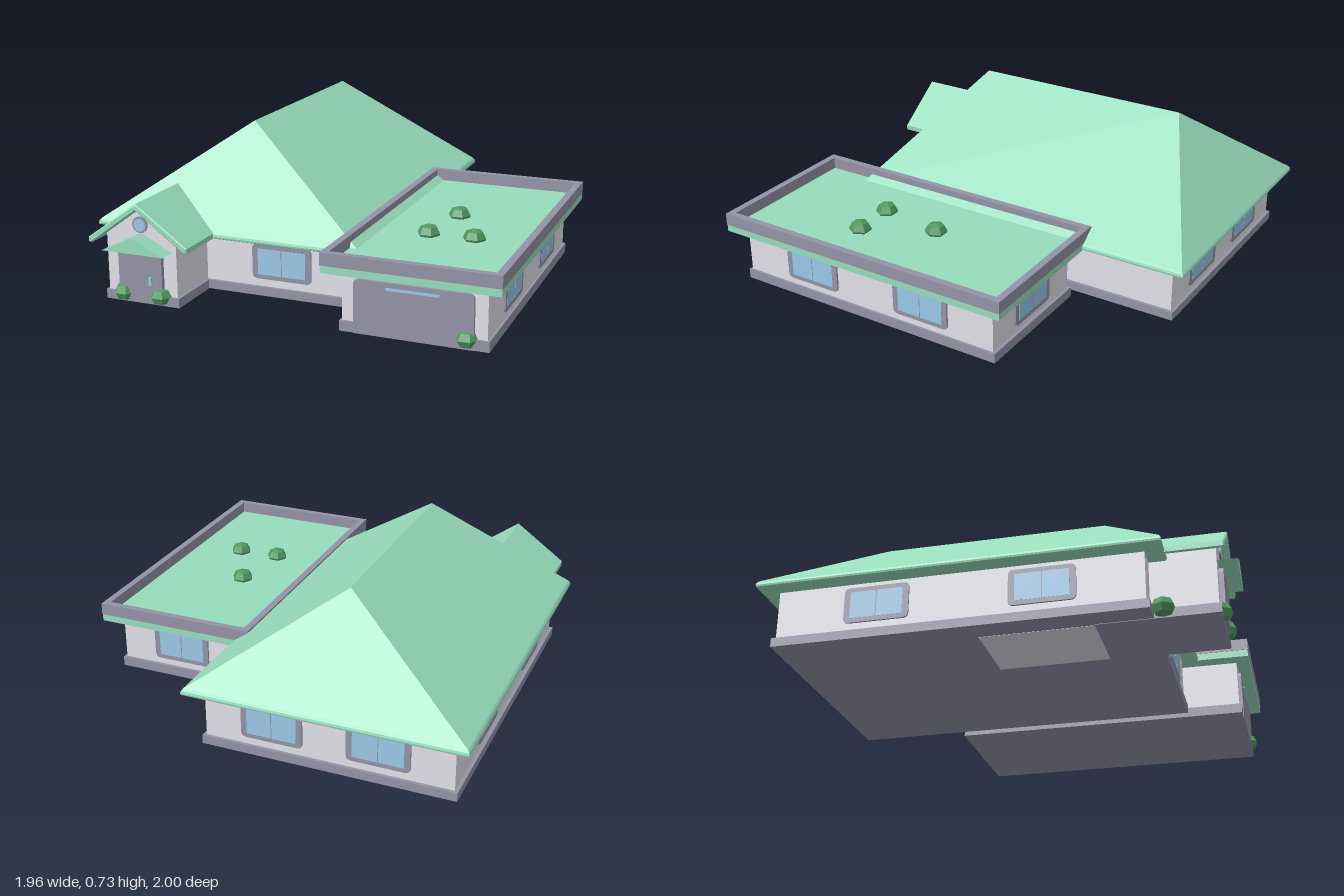
import * as THREE from 'three';

const mat = (name, color) => Object.assign(new THREE.MeshStandardMaterial({ color }), { name });

export function createModel() {
  const roofGreen = mat('roof green', 0x97dcbc);
  const wallGrey = mat('wall grey', 0xe0e0e7);
  const trimGrey = mat('trim grey', 0x9393a7);
  const glassBlue = mat('glass blue', 0x9ccaeb);
  const leafGreen = mat('leaf green', 0x4f985f);
  const model = new THREE.Group();

  const add = (name, geometry, material, parent = model) => {
    const mesh = new THREE.Mesh(geometry, material);
    mesh.name = name;
    parent.add(mesh);
    return mesh;
  };
  // Box given by its limits on each axis
  const box = (name, m, x0, x1, y0, y1, z0, z1) => {
    const mesh = add(name, new THREE.BoxGeometry(x1 - x0, y1 - y0, z1 - z0), m);
    mesh.position.set((x0 + x1) / 2, (y0 + y1) / 2, (z0 + z1) / 2);
  };
  // Outline of x, y points extruded from z0 to z1, with an optional bevel inside that outline
  const prism = (name, m, points, z0, z1, bevel = 0) => {
    const shape = new THREE.Shape(points.map(([x, y]) => new THREE.Vector2(x, y)));
    const g = new THREE.ExtrudeGeometry(shape, { depth: z1 - z0 - 2 * bevel, bevelEnabled: bevel > 0,
      bevelThickness: bevel, bevelSize: bevel, bevelOffset: -bevel, bevelSegments: 1 });
    add(name, g.translate(0, 0, z0 + bevel), m);
  };
  // Plate with rounded top corners, and rounded bottom corners if rb > 0
  const plate = (w, h, r, rb, depth) => {
    const s = new THREE.Shape(), a = w / 2;
    s.moveTo(-a + rb, 0);
    s.lineTo(a - rb, 0);
    s.quadraticCurveTo(a, 0, a, rb);
    s.lineTo(a, h - r);
    s.quadraticCurveTo(a, h, a - r, h);
    s.lineTo(-a + r, h);
    s.quadraticCurveTo(-a, h, -a, h - r);
    s.lineTo(-a, rb);
    s.quadraticCurveTo(-a, 0, -a + rb, 0);
    return new THREE.ExtrudeGeometry(s, { depth, bevelEnabled: false, curveSegments: 5 });
  };

  // Walls and plinths; the porch body runs back under the house
  box('mainWalls', wallGrey, -0.905, 0.217, 0.04, 0.27, -0.92, 0.645);
  box('mainPlinth', trimGrey, -0.92, 0.232, 0.002, 0.042, -0.935, 0.66);
  box('garageWalls', wallGrey, 0.288, 0.908, 0.04, 0.27, -0.435, 0.897);
  box('garagePlinth', trimGrey, 0.278, 0.919, 0, 0.045, -0.45, 0.908);
  box('porchPlinth', trimGrey, -0.818, -0.457, 0, 0.042, 0.42, 0.93);
  const px = -0.638;
  prism('porchWalls', wallGrey, [[px - 0.17, 0.001], [px + 0.17, 0.001], [px + 0.17, 0.305],
    [px, 0.43], [px - 0.17, 0.305]], -0.065, 0.92);

  // Hipped main roof: rounded eave rings closed by a ridge
  const rings = [[0.01, 0.258], [0.002, 0.262], [0, 0.27], [0.003, 0.28], [0.01, 0.29]].map(([i, y]) =>
    [[-0.98 + i, y, 0.722 - i], [0.292 - i, y, 0.722 - i], [0.292 - i, y, -1 + i], [-0.98 + i, y, -1 + i]]);
  const low = rings[0], top = rings[4];
  const ridge = [[-0.344, 0.728, 0.387], [-0.344, 0.728, -0.655]];
  const tris = [];
  const quad = (a, b, c, d) => tris.push(a, b, c, a, c, d);
  for (let r = 0; r < 4; r++) for (let i = 0; i < 4; i++) {
    const j = (i + 1) % 4;
    quad(rings[r][i], rings[r][j], rings[r + 1][j], rings[r + 1][i]);
  }
  quad(low[3], low[2], low[1], low[0]);
  tris.push(top[0], top[1], ridge[0], top[2], top[3], ridge[1]);
  quad(top[1], top[2], ridge[1], ridge[0]);
  quad(top[3], top[0], ridge[0], ridge[1]);
  const hip = new THREE.BufferGeometry();
  hip.setAttribute('position', new THREE.Float32BufferAttribute(tris.flat(), 3));
  hip.computeVertexNormals();
  add('mainRoof', hip, roofGreen);

  // Gabled porch roof and the small canopy over the door
  prism('porchRoof', roofGreen, [[px - 0.242, 0.26], [px - 0.225, 0.26], [px, 0.425], [px + 0.225, 0.26],
    [px + 0.242, 0.26], [px + 0.242, 0.283], [px, 0.456], [px - 0.242, 0.283]], 0.56, 0.959, 0.005);
  prism('doorCanopy', roofGreen, [[px - 0.15, 0.245], [px + 0.15, 0.245], [px, 0.318]], 0.92, 1);

  // Flat garage roof with a raised parapet
  box('garageRoof', roofGreen, 0.217, 0.977, 0.258, 0.292, -0.51, 0.958);
  const rect = (P, i) => new P([[0.214 + i, -0.96 + i], [0.979 - i, -0.96 + i],
    [0.979 - i, 0.512 - i], [0.214 + i, 0.512 - i]].map(([x, y]) => new THREE.Vector2(x, y)));
  const rim = rect(THREE.Shape, 0);
  rim.holes.push(rect(THREE.Path, 0.032));
  const parapet = new THREE.ExtrudeGeometry(rim, { depth: 0.055, bevelEnabled: false });
  add('garageParapet', parapet.rotateX(-Math.PI / 2).translate(0, 0.291, 0), trimGrey);

  // Two-pane windows, each facing the given turn about y
  const frame = plate(0.282, 0.16, 0.024, 0.024, 0.008);
  const pane = new THREE.BoxGeometry(0.112, 0.12, 0.002);
  const addWindow = (x, z, turn) => {
    const g = new THREE.Group();
    g.name = 'window';
    add('windowFrame', frame, trimGrey, g);
    for (const s of [-1, 1]) add('windowPane', pane, glassBlue, g).position.set(s * 0.058, 0.08, 0.008);
    g.position.set(x, 0.078, z);
    g.rotation.y = turn;
    model.add(g);
  };
  addWindow(-0.099, 0.645, 0);
  for (const z of [0.522, -0.068]) addWindow(0.908, z, Math.PI / 2);
  for (const z of [0.225, -0.48]) addWindow(-0.905, z, -Math.PI / 2);
  for (const x of [-0.575, -0.095]) addWindow(x, -0.92, Math.PI);
  addWindow(0.6, -0.435, Math.PI);

  // Front door, handle and round gable window
  add('frontDoor', plate(0.213, 0.225, 0.025, 0, 0.02), trimGrey).position.set(px, 0.015, 0.92);
  box('doorHandle', glassBlue, -0.594, -0.58, 0.09, 0.13, 0.938, 0.948);
  const disc = (name, r, m, z) => {
    const g = new THREE.CylinderGeometry(r, r, 0.012, 24).rotateX(Math.PI / 2);
    add(name, g, m).position.set(px, 0.355, z);
  };
  disc('roundWindowFrame', 0.036, trimGrey, 0.922);
  disc('roundWindowPane', 0.028, glassBlue, 0.924);

  // Garage door with a narrow light
  add('garageDoor', plate(0.513, 0.235, 0.025, 0, 0.014), trimGrey).position.set(0.598, 0, 0.897);
  box('garageDoorLight', glassBlue, 0.482, 0.712, 0.204, 0.215, 0.909, 0.914);

  // Low-poly shrubs at the front and on the flat roof
  const leaf = new THREE.SphereGeometry(0.052, 6, 4).scale(1, 0.8, 1).toNonIndexed();
  leaf.computeVertexNormals();
  const shrubs = [[-0.83, 0.041, 0.7], [-0.728, 0.041, 0.918], [-0.548, 0.041, 0.918], [0.822, 0.041, 0.89],
    [0.543, 0.302, 0.102], [0.498, 0.302, 0.412], [0.703, 0.302, 0.407]];
  for (const p of shrubs) add('shrub', leaf, leafGreen).position.set(...p);

  return model;
}
